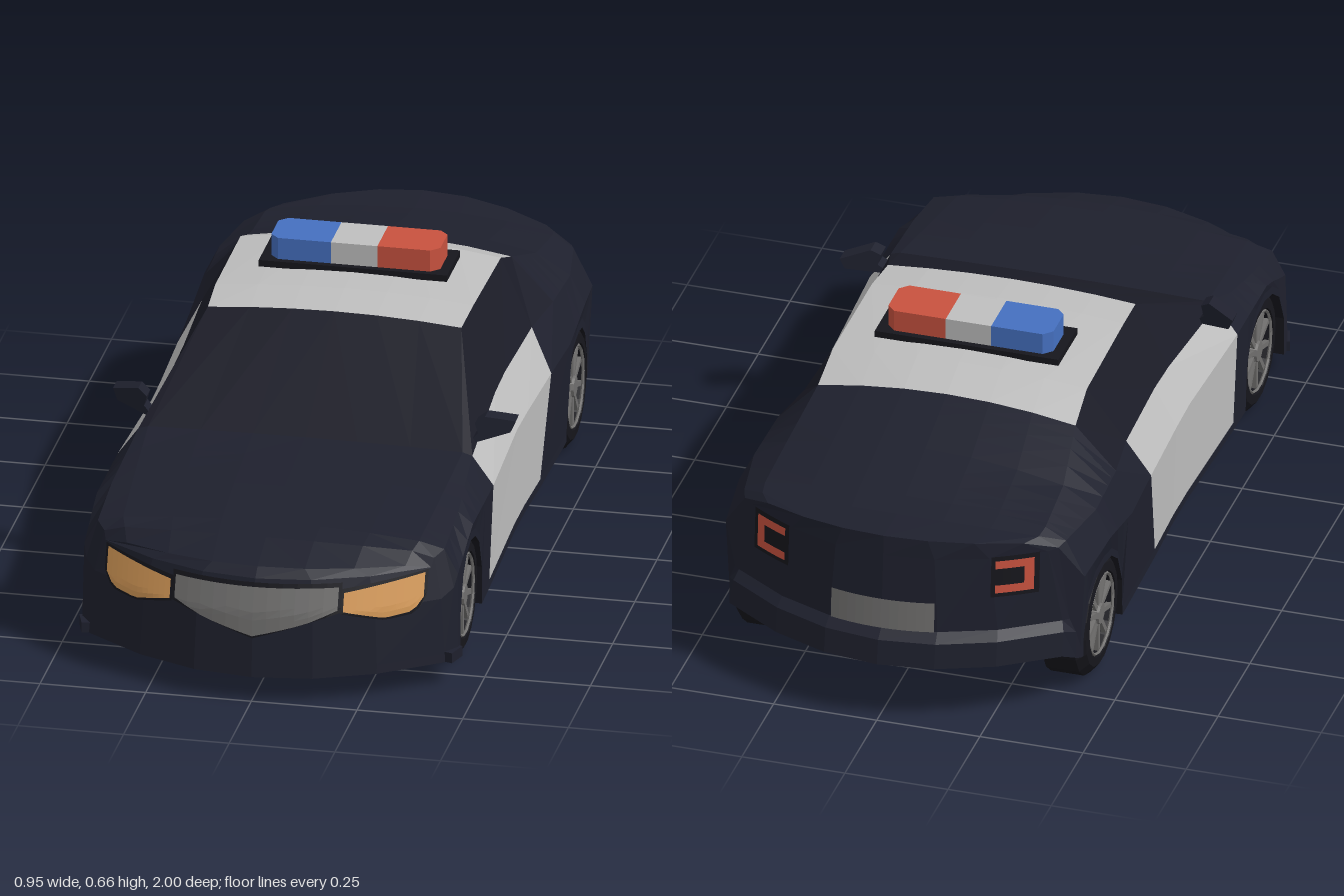
import * as THREE from 'three';

const mat = (name, color) => Object.assign(new THREE.MeshStandardMaterial({ color }), { name });
const M = {
  body: mat('navy paint', 0x1e202d), glass: mat('dark glass', 0x1b1c27), white: mat('white paint', 0xbebebe),
  trim: mat('black trim', 0x16161c), grey: mat('grey metal', 0x706f6e), lamp: mat('amber lamp', 0xd69a58),
  red: mat('red lens', 0xc8523f), blue: mat('blue lens', 0x4570c0),
};
const AXLE = 0.62, WHEEL_Y = 0.15, ARCH = 0.138;

// Faceted mesh helper
function add(parent, name, geo, material) {
  const g = geo.index ? geo.toNonIndexed() : geo;
  g.computeVertexNormals();
  const mesh = new THREE.Mesh(g, material);
  mesh.name = name;
  parent.add(mesh);
}

// Piecewise linear lookup in [t, value] pairs with rising t
function lerpPts(pts, t) {
  for (let i = 1; i < pts.length; i++) {
    if (t <= pts[i][0] || i === pts.length - 1) {
      const [a, b] = [pts[i - 1], pts[i]];
      return a[1] + (b[1] - a[1]) * THREE.MathUtils.clamp((t - a[0]) / (b[0] - a[0]), 0, 1);
    }
  }
}

// Bowed nose and tail surfaces
const nose = (x, y) => lerpPts([[0.065, 1], [0.22, 0.982], [0.295, 0.955], [0.315, 0.93]], y) - x * x;
const tail = (x, y) => lerpPts([[0.155, -1], [0.215, -0.99], [0.235, -0.965], [0.47, -0.945]], y) + x * x;

// Body stations: z, bow, bottom, sill x, waist x y, shoulder x y, roof or hood edge x y, centre y, slant, skirt height
const NOSE = [0, 0, 0.065, 0.42, 0.41, 0.22, 0.385, 0.295, 0.33, 0.305, 0.315, 0, 0.02];
const TAIL = [0, 0, 0.155, 0.40, 0.392, 0.235, 0.36, 0.42, 0.31, 0.45, 0.47, 0, 0.06];
const KEYS = [
  [0.835, 0.25, 0.065, 0.445, 0.435, 0.24, 0.39, 0.315, 0.34, 0.332, 0.348, 0, 0.02],
  [0.776, 0, 0.065, 0.445, 0.442, 0.27, 0.41, 0.33, 0.35, 0.345, 0.362, 0, 0.02],
  [0.62, 0, 0.07, 0.44, 0.445, 0.33, 0.41, 0.358, 0.36, 0.37, 0.387, 0, 0.02],
  [0.39, 0, 0.07, 0.435, 0.445, 0.33, 0.395, 0.40, 0.372, 0.407, 0.412, 0, 0.02],
  [0.06, 0, 0.07, 0.425, 0.432, 0.33, 0.38, 0.42, 0.30, 0.575, 0.59, 0, 0.02],
  [-0.05, 0, 0.07, 0.425, 0.434, 0.33, 0.38, 0.425, 0.305, 0.585, 0.602, 0, 0.02],
  [-0.21, 0, 0.07, 0.43, 0.442, 0.33, 0.39, 0.43, 0.308, 0.58, 0.602, 0.28, 0.02],
  [-0.45, 0, 0.07, 0.435, 0.45, 0.33, 0.41, 0.435, 0.312, 0.54, 0.57, 0, 0.02],
  [-0.62, 0, 0.07, 0.435, 0.45, 0.36, 0.415, 0.43, 0.335, 0.48, 0.52, 0, 0.02],
  [-0.776, 0, 0.12, 0.425, 0.435, 0.34, 0.39, 0.43, 0.34, 0.458, 0.482, 0, 0.03],
  [-0.84, -0.25, 0.13, 0.42, 0.405, 0.235, 0.38, 0.425, 0.335, 0.452, 0.47, 0, 0.07],
];

function keyAt(z) {
  const i = Math.max(1, KEYS.findIndex((k) => k[0] <= z + 1e-6));
  const [a, b] = [KEYS[i - 1], KEYS[i]];
  const t = (z - a[0]) / (b[0] - a[0]);
  return a.map((v, n) => v + (b[n] - v) * t);
}

// Half cross-section from floor centre, around the wheel well, up to roof centre
function section(k, zAt) {
  const [z, bow, yb, xs, xw, yw, xsh, ysh, xr, yr, yc, slant, skirt] = k;
  const dz = Math.abs(Math.abs(z) - AXLE);
  const ya = !zAt && dz < ARCH ? WHEEL_Y + Math.sqrt(ARCH * ARCH - dz * dz) : yb;
  const crown = (s) => [s * xr, yr + (yc - yr) * (1 - s * s)];
  const pts = [[0, yb], [xs / 3, yb], [xs * 2 / 3, yb], [xs * 2 / 3, ya], [xs, ya], [xs, ya + skirt],
    [xw, Math.max(yw, ya + 0.035)], [xsh, ysh], crown(1), crown(2 / 3), crown(1 / 3), crown(0)];
  return pts.map(([x, y]) => [x, y, zAt ? zAt(x, y) : z - bow * x * x - slant * (y - 0.09)]);
}

function buildBody(car) {
  const zs = KEYS.map((k) => k[0]);
  for (const s of [1, -1]) for (const d of [1.005, 0.995, 0.75, 0.4]) zs.push(s * AXLE + d * ARCH, s * AXLE - d * ARCH);
  zs.sort((a, b) => b - a);
  const rings = [section(NOSE, nose), ...zs.map((z) => section(keyAt(z))), section(TAIL, tail)];
  const mid = [1, ...zs, -1];
  const parts = {};
  const pick = (i, j) => {
    const z = (mid[i] + mid[i + 1]) / 2;
    const within = (front, back) => z < front && z > back;
    if (j < 4) return within(0.39, -0.45) ? ['floorPlate', M.white] : ['underbody', M.trim];
    if ((j === 5 || j === 6) && within(0.39, -0.21)) return ['doors', M.white];
    if (j === 7 && within(0.39, -0.45)) return ['sideWindows', M.glass];
    if (j > 7 && within(0.39, 0.06)) return ['windshield', M.glass];
    if (j > 7 && within(0.06, -0.45)) return ['roof', M.white];
    return ['bodyShell', M.body];
  };
  for (let i = 0; i < rings.length - 1; i++) for (let j = 0; j < 11; j++) {
    const [name, material] = pick(i, j);
    const part = (parts[name] ??= { material, pos: [] });
    for (const s of [1, -1]) {
      const [a, b, c, d] = [rings[i][j], rings[i + 1][j], rings[i + 1][j + 1], rings[i][j + 1]]
        .map(([x, y, z]) => [s * x, y, z]);
      part.pos.push(...(s > 0 ? [a, b, c, a, c, d] : [a, c, b, a, d, c]).flat());
    }
  }
  for (const [name, p] of Object.entries(parts)) {
    const g = new THREE.BufferGeometry();
    g.setAttribute('position', new THREE.Float32BufferAttribute(p.pos, 3));
    add(car, name, g, p.material);
  }
}

// Grid bent onto the nose (dir 1) or tail (dir -1); place(u, v) gives x, y
function bent(car, name, material, dir, cols, rows, place, lift = 0) {
  const g = new THREE.PlaneGeometry(1, 1, cols, rows), p = g.attributes.position;
  for (let i = 0; i < p.count; i++) {
    const [x, y] = place(p.getX(i) + 0.5, p.getY(i) + 0.5);
    p.setXYZ(i, dir * x, y, (dir > 0 ? nose : tail)(x, y) + dir * lift);
  }
  add(car, name, g, material);
}

// Closes the shell at an end, sharing the rim points of the end section
function endCap(car, name, dir, key) {
  const levels = section(key, dir > 0 ? nose : tail).slice(4, 9), n = levels.length - 1;
  bent(car, name, M.body, dir, 6, n, (u, v) => {
    const i = Math.round(v * n), s = 2 * u - 1;
    return [s * levels[i][0], levels[i][1] + (i === n ? (key[10] - key[9]) * (1 - s * s) : 0)];
  });
}

// Thin panel between a lower and an upper edge, each a list of [x, y]
function panel(car, name, material, dir, lower, upper, lift = 0.007) {
  const x0 = lower[0][0], x1 = lower[lower.length - 1][0];
  bent(car, name, material, dir, 12, 6, (u, v) => {
    const x = x0 + (x1 - x0) * u, a = lerpPts(lower, x), b = lerpPts(upper, x);
    return [x, a + (b - a) * v];
  }, lift);
}
const flip = (pts) => pts.map(([x, y]) => [-x, y]).reverse();

function buildWheel(car, side, z) {
  const wheel = new THREE.Group();
  wheel.name = 'wheel';
  const profile = [[0, -0.05], [0.148, -0.05], [0.148, 0.03], [0.125, 0.05], [0.103, 0.052], [0.098, 0.03], [0, 0.03]];
  const tyre = new THREE.LatheGeometry(profile.map(([r, h]) => new THREE.Vector2(r, h)), 18);
  add(wheel, 'tyre', tyre.rotateZ(-Math.PI / 2), M.trim);
  add(wheel, 'rimRing', new THREE.TorusGeometry(0.097, 0.004, 4, 18).rotateY(Math.PI / 2).translate(0.047, 0, 0), M.grey);
  add(wheel, 'hub', new THREE.CylinderGeometry(0.024, 0.03, 0.02, 10).rotateZ(-Math.PI / 2).translate(0.04, 0, 0), M.grey);
  for (let i = 0; i < 10; i++) {
    const spoke = new THREE.BoxGeometry(0.012, 0.08, 0.012).translate(0.038, 0.058, 0);
    add(wheel, 'spoke', spoke.rotateX((i * Math.PI) / 5), M.grey);
  }
  wheel.position.set(side * 0.378, WHEEL_Y, z);
  if (side < 0) wheel.rotation.y = Math.PI;
  car.add(wheel);
}

function extrude(pts, depth) {
  return new THREE.ExtrudeGeometry(new THREE.Shape(pts.map(([x, y]) => new THREE.Vector2(x, y))), { depth, bevelEnabled: false });
}

export function createModel() {
  const car = new THREE.Group();
  car.name = 'patrolCar';
  buildBody(car);
  endCap(car, 'frontBumper', 1, NOSE);
  endCap(car, 'rearBumper', -1, TAIL);

  // Grille with dark surround, and rear plate
  panel(car, 'grilleFrame', M.trim, 1, [[-0.2, 0.222], [0, 0.16], [0.2, 0.222]], [[-0.2, 0.288], [0.2, 0.288]], 0.004);
  panel(car, 'grille', M.grey, 1, [[-0.193, 0.228], [-0.12, 0.198], [0, 0.166], [0.12, 0.198], [0.193, 0.228]], [[-0.193, 0.279], [0.193, 0.279]]);
  panel(car, 'rearPlate', M.grey, -1, [[-0.125, 0.238], [0.125, 0.238]], [[-0.125, 0.312], [0.125, 0.312]]);

  for (const s of [1, -1]) {
    const side = (pts) => (s > 0 ? pts : flip(pts));
    // Headlights with dark surround
    panel(car, 'headlightFrame', M.trim, 1, side([[0.2, 0.218], [0.295, 0.194], [0.36, 0.2], [0.381, 0.235]]), side([[0.2, 0.274], [0.381, 0.294]]), 0.004);
    panel(car, 'headlight', M.lamp, 1, side([[0.205, 0.224], [0.295, 0.2], [0.355, 0.207], [0.375, 0.235]]), side([[0.205, 0.266], [0.375, 0.289]]));
    // Bracket-shaped tail lights on a dark backing
    panel(car, 'tailLightBacking', M.trim, -1, side([[0.245, 0.322], [0.345, 0.322]]), side([[0.245, 0.425], [0.345, 0.425]]), 0.004);
    for (const [x0, x1, y0, y1] of [[0.255, 0.335, 0.395, 0.415], [0.255, 0.335, 0.333, 0.353], [0.315, 0.335, 0.353, 0.395]])
      panel(car, 'tailLight', M.red, -1, side([[x0, y0], [x1, y0]]), side([[x0, y1], [x1, y1]]));

    // Bumper corner lips
    add(car, 'bumperLip', new THREE.BoxGeometry(0.02, 0.025, 0.05).rotateY(s * -0.3).translate(s * 0.436, 0.078, 0.8), M.body);

    // Door mirrors, swept back towards the tip
    const outline = side([[0.37, 0.405], [0.4, 0.41], [0.465, 0.425], [0.476, 0.452], [0.41, 0.47], [0.388, 0.455], [0.395, 0.43]]);
    const mirror = extrude(outline, 0.04), p = mirror.attributes.position;
    for (let i = 0; i < p.count; i++) p.setZ(i, p.getZ(i) + 0.275 - (Math.abs(p.getX(i)) - 0.42) * 0.45);
    add(car, 'mirror', mirror, M.body);

    for (const z of [AXLE, -AXLE]) buildWheel(car, s, z);
  }

  // Roof light bar
  const bar = new THREE.Group();
  bar.name = 'lightBar';
  add(bar, 'barBase', new THREE.BoxGeometry(0.445, 0.016, 0.15).translate(0, 0.605, 0), M.trim);
  const end = [[0.055, -0.06], [0.18, -0.06], [0.2, -0.04], [0.2, 0.04], [0.18, 0.06], [0.055, 0.06]];
  const lens = (pts) => extrude(pts, 0.053).rotateX(-Math.PI / 2).translate(0, 0.613, 0);
  add(bar, 'redLens', lens(end), M.red);
  add(bar, 'blueLens', lens(flip(end)), M.blue);
  add(bar, 'clearLens', new THREE.BoxGeometry(0.11, 0.053, 0.12).translate(0, 0.6395, 0), M.white);
  bar.position.z = -0.22;
  car.add(bar);
  return car;
}
